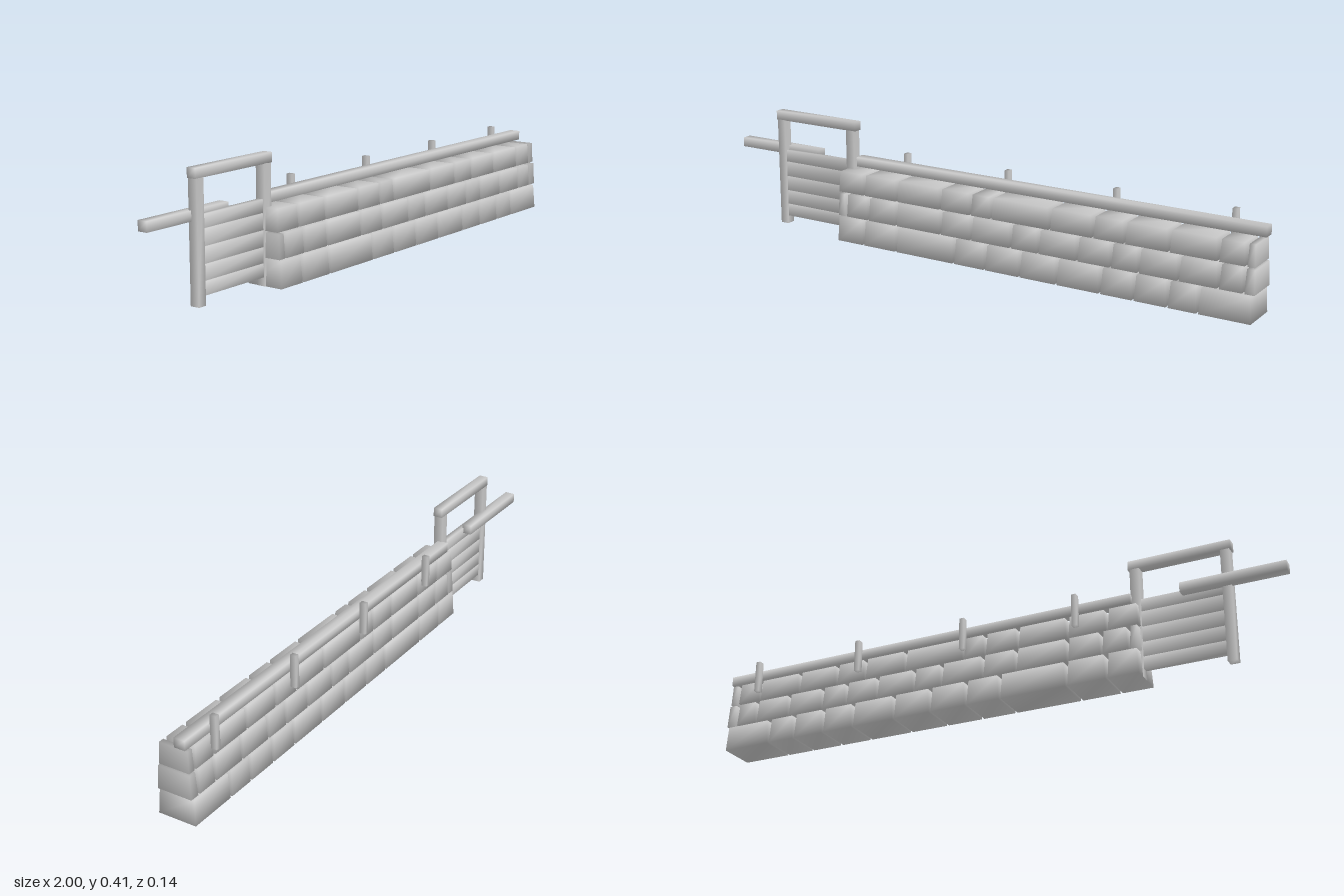
import * as THREE from 'three';
import { mergeVertices } from 'three/addons/utils/BufferGeometryUtils.js';

const grey = new THREE.MeshStandardMaterial({ color: 0xcccccc });
grey.name = 'stoneGrey';

// Box between limits, with shared corners for soft shading; the top narrows by the given insets
function softBox(name, [x0, x1], [y0, y1], [z0, z1], insetX = 0, insetBack = 0, insetFront = 0) {
  let geo = new THREE.BoxGeometry(x1 - x0, y1 - y0, z1 - z0);
  geo.translate((x0 + x1) / 2, (y0 + y1) / 2, (z0 + z1) / 2);
  geo.deleteAttribute('normal');
  geo.deleteAttribute('uv');
  geo = mergeVertices(geo);
  const p = geo.attributes.position;
  const midX = (x0 + x1) / 2, midY = (y0 + y1) / 2, midZ = (z0 + z1) / 2;
  for (let i = 0; i < p.count; i++) {
    if (p.getY(i) < midY) continue;
    p.setX(i, p.getX(i) + (p.getX(i) < midX ? insetX : -insetX));
    p.setZ(i, p.getZ(i) + (p.getZ(i) < midZ ? insetBack : -insetFront));
  }
  geo.computeVertexNormals();
  const mesh = new THREE.Mesh(geo, grey);
  mesh.name = name;
  return mesh;
}

export function createModel() {
  const model = new THREE.Group();
  model.name = 'wallWithGate';

  // Three courses of stones, each listed by the joints between its stones
  const courses = [
    { name: 'bottomCourse', y: [0, 0.084], z: [-0.061, 0.07], back: 0.003, front: 0.005,
      joints: [-0.525, -0.415, -0.28, -0.05, 0.07, 0.2, 0.335, 0.49, 0.605, 0.72, 0.82, 0.995] },
    { name: 'middleCourse', y: [0.089, 0.166], z: [-0.055, 0.063], back: 0.004, front: 0.003,
      joints: [-0.525, -0.49, -0.398, -0.283, -0.105, 0.013, 0.163, 0.265, 0.404, 0.522, 0.617, 0.75, 0.88, 0.96, 1.0] },
    { name: 'topCourse', y: [0.172, 0.243], z: [-0.049, 0.057], back: 0.003, front: 0.003,
      joints: [-0.525, -0.417, -0.283, -0.11, 0.007, 0.086, 0.302, 0.455, 0.565, 0.714, 0.874, 0.963, 0.995] },
  ];
  for (const c of courses) {
    const course = new THREE.Group();
    course.name = c.name;
    for (let i = 0; i < c.joints.length - 1; i++) {
      const span = [c.joints[i] + 0.004, c.joints[i + 1] - 0.004];
      const inset = Math.min(0.005, (span[1] - span[0]) * 0.1);
      course.add(softBox('stone', span, c.y, c.z, inset, c.back, c.front));
    }
    model.add(course);
  }

  // Long rail above the stones, held by pegs at the back
  model.add(softBox('wallRail', [-0.495, 0.997], [0.25, 0.282], [-0.044, -0.006]));
  for (const x of [-0.315, 0.083, 0.478, 0.877]) {
    model.add(softBox('railPeg', [x - 0.009, x + 0.009], [0.2, 0.309], [-0.068, -0.047], 0.001));
  }

  // Gate frame
  const gate = new THREE.Group();
  gate.name = 'gate';
  const frameZ = [-0.023, 0.009];
  gate.add(softBox('outerPost', [-0.82, -0.79], [0, 0.377], frameZ));
  gate.add(softBox('innerPost', [-0.523, -0.491], [0, 0.377], frameZ));
  gate.add(softBox('topBeam', [-0.824, -0.485], [0.376, 0.407], frameZ));

  // Stacked gate slats
  const levels = [0.028, 0.072, 0.122, 0.174, 0.227, 0.27];
  for (let i = 0; i < levels.length - 1; i++) {
    gate.add(softBox('slat', [-0.795, -0.518], [levels[i], levels[i + 1] - 0.002], [-0.017, 0.003]));
  }
  model.add(gate);

  // Loose rail beyond the gate
  model.add(softBox('outerRail', [-1, -0.66], [0.25, 0.282], [-0.047, -0.013]));
  return model;
}
